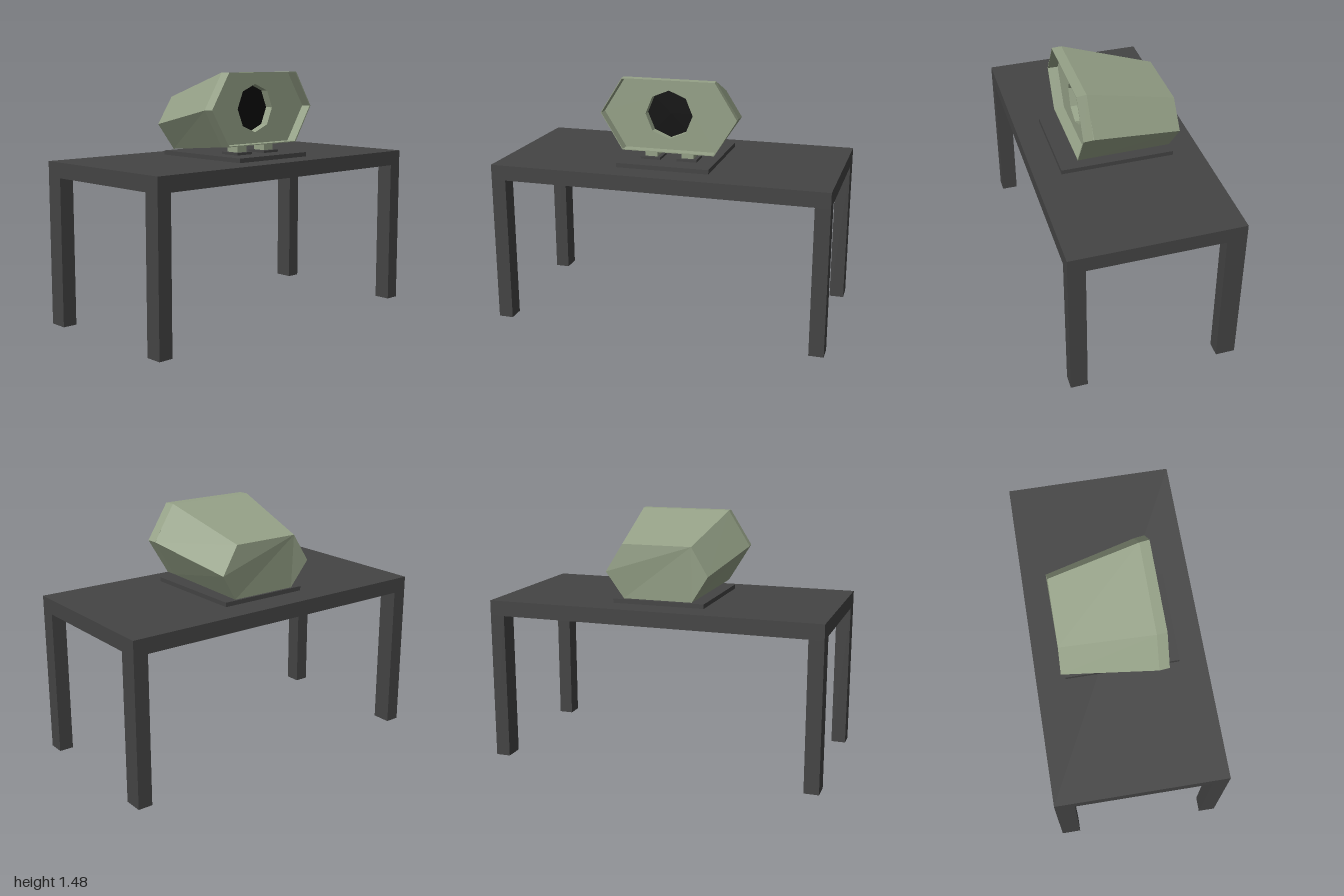
import * as THREE from 'three';

const material = (color) => new THREE.MeshStandardMaterial({ color, flatShading: true, side: THREE.DoubleSide });

// Flat-faced surface joining rings of equal point count, with optional end caps
function loft(rings, capStart, capEnd) {
  const n = rings[0].length;
  const pos = [];
  const tri = (a, b, c) => pos.push(...a, ...b, ...c);
  for (let r = 0; r < rings.length - 1; r++) {
    for (let i = 0; i < n; i++) {
      const j = (i + 1) % n, a = rings[r], b = rings[r + 1];
      tri(a[i], a[j], b[j]);
      tri(a[i], b[j], b[i]);
    }
  }
  const cap = (ring, flip) => {
    for (let i = 1; i < n - 1; i++) {
      if (flip) tri(ring[0], ring[i + 1], ring[i]);
      else tri(ring[0], ring[i], ring[i + 1]);
    }
  };
  if (capStart) cap(rings[0], true);
  if (capEnd) cap(rings[rings.length - 1], false);
  const geo = new THREE.BufferGeometry();
  geo.setAttribute('position', new THREE.Float32BufferAttribute(pos, 3));
  geo.computeVertexNormals();
  return geo;
}

// Hexagon across x: [x, y] for the top, middle and bottom, half widths, z centre
function hexagon(top, mid, bottom, wTop, wMid, zc) {
  return [
    [...top, zc + wTop], [...top, zc - wTop], [...mid, zc - wMid],
    [...bottom, zc - wTop], [...bottom, zc + wTop], [...mid, zc + wMid],
  ];
}

export function createModel() {
  const model = new THREE.Group();
  const dark = material(0x444444);
  const green = material(0x95a187);
  const black = material(0x0a0a0a);

  const add = (name, geo, mat, parent = model) => {
    const mesh = new THREE.Mesh(geo, mat);
    mesh.name = name;
    parent.add(mesh);
    return mesh;
  };
  // Box given by its limits on each axis
  const box = (name, [x0, x1], [y0, y1], [z0, z1], mat, parent) =>
    add(name, new THREE.BoxGeometry(x1 - x0, y1 - y0, z1 - z0), mat, parent)
      .position.set((x0 + x1) / 2, (y0 + y1) / 2, (z0 + z1) / 2);

  // Table
  const table = new THREE.Group();
  table.name = 'table';
  model.add(table);
  box('tableTop', [-0.5, 0.5], [0.877, 0.967], [-1, 1], dark, table);
  for (const x of [[-0.5, -0.385], [0.4, 0.5]]) {
    for (const z of [[-1, -0.913], [0.913, 1]]) box('tableLeg', x, [0, 0.877], z, dark, table);
  }

  // Base plate, with two pads and struts under the housing
  box('basePlate', [-0.33, 0.342], [0.967, 0.993], [-0.28, 0.275], dark);
  for (const z of [0.108, -0.113]) {
    box('strutPad', [0.075, 0.208], [0.993, 1.007], [z - 0.06, z + 0.06], dark);
    box('strut', [0.1, 0.185], [1.007, 1.06], [z - 0.037, z + 0.037], green);
  }

  // Tapering hexagonal housing: closed back, shoulder, open rim and its inner wall
  const panelX = 0.185;
  const inner = (x) => hexagon([x, 1.47], [x, 1.265], [x, 1.055], 0.273, 0.404, -0.008);
  add('housing', loft([
    hexagon([-0.345, 1.32], [-0.352, 1.155], [-0.328, 0.998], 0.208, 0.31, -0.005),
    hexagon([0.188, 1.475], [0.188, 1.263], [0.188, 1.046], 0.276, 0.409, -0.004),
    hexagon([0.247, 1.475], [0.247, 1.265], [0.247, 1.05], 0.278, 0.41, -0.01),
    inner(0.247),
    inner(panelX),
  ], true, false), green);

  // Recessed front panel with an octagonal opening
  const octagon = (x) => Array.from({ length: 8 }, (_, i) => {
    const a = (i / 8) * Math.PI * 2;
    return [x, 1.262 + 0.143 * Math.cos(a), -0.143 * Math.sin(a)];
  });
  const shape = new THREE.Shape(inner(0).map(([, y, z]) => new THREE.Vector2(-z, y)));
  shape.holes.push(new THREE.Path(octagon(0).map(([, y, z]) => new THREE.Vector2(-z, y))));
  const panel = add('frontPanel', new THREE.ShapeGeometry(shape), green);
  panel.rotation.y = Math.PI / 2;
  panel.position.x = panelX;

  // Wall of the opening and the dark lens behind it
  add('openingWall', loft([octagon(panelX), octagon(0.135)], false, false), green);
  const lens = add('lens', new THREE.CircleGeometry(0.143, 8), black);
  lens.rotation.y = Math.PI / 2;
  lens.position.set(0.135, 1.262, 0);

  return model;
}
